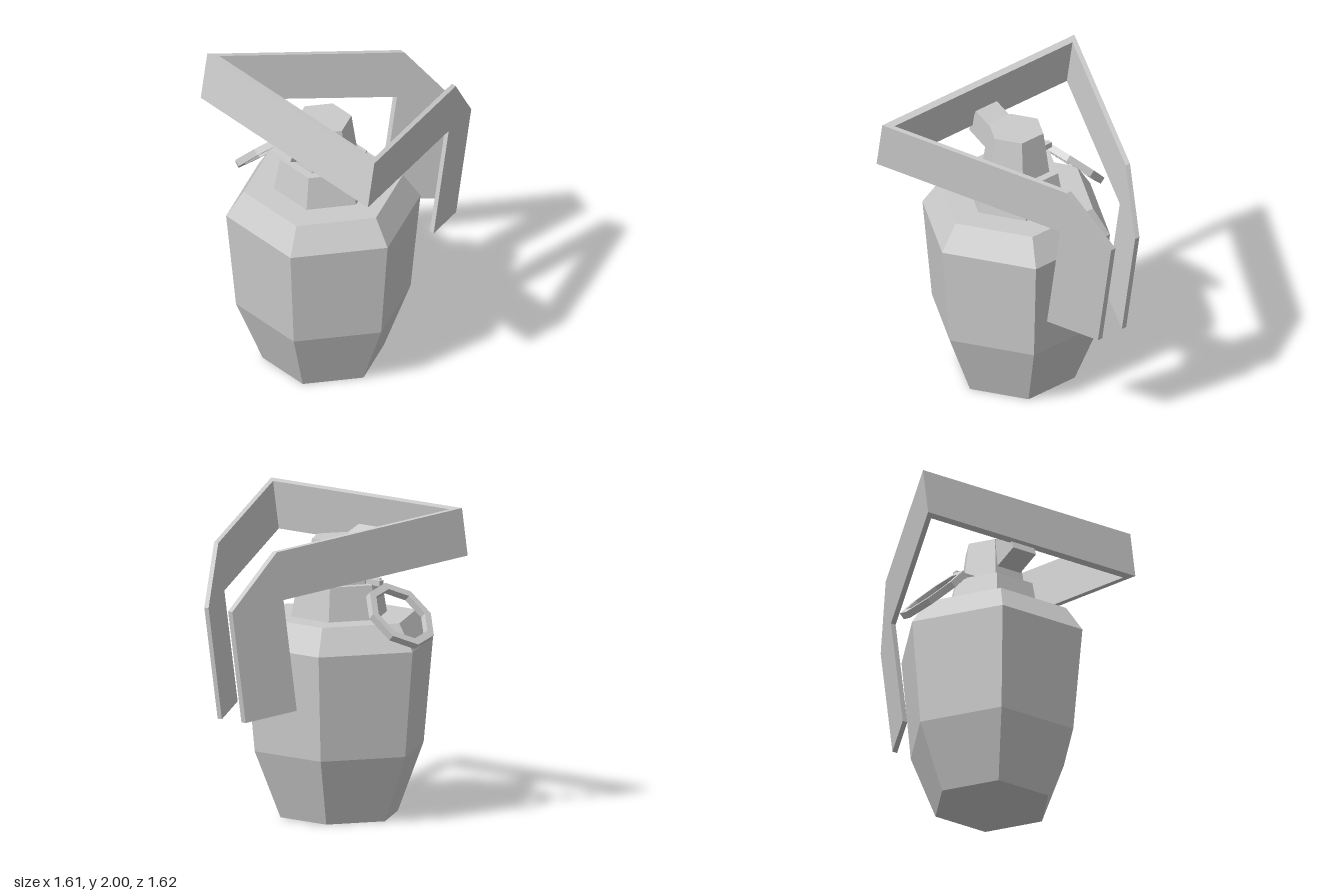
import * as THREE from 'three';

const material = new THREE.MeshStandardMaterial({ color: 0xcccccc, flatShading: true });

function addMesh(parent, name, geometry) {
  const mesh = new THREE.Mesh(geometry, material);
  mesh.name = name;
  parent.add(mesh);
  return mesh;
}

// Six-sided solid of revolution from [radius, height] pairs, corners on the x axis
function hexLathe(profile) {
  const points = profile.map(([r, y]) => new THREE.Vector2(r, y));
  return new THREE.LatheGeometry(points, 6, Math.PI / 6);
}

// Outline given as [z, y], extruded across x and centred on x = 0
function sideExtrude(outline, width) {
  const shape = new THREE.Shape(outline.map(([z, y]) => new THREE.Vector2(z, y)));
  return new THREE.ExtrudeGeometry(shape, { depth: width, bevelEnabled: false })
    .translate(0, 0, -width / 2)
    .rotateY(-Math.PI / 2);
}

// Replaces each x by rule(x, z)
function moveX(geometry, rule) {
  const p = geometry.attributes.position;
  for (let i = 0; i < p.count; i++) p.setX(i, rule(p.getX(i), p.getZ(i)));
  geometry.computeVertexNormals();
  return geometry;
}

function octagon(PathType, radius) {
  const points = [];
  for (let i = 0; i < 8; i++) {
    const a = (i * Math.PI) / 4 - 0.15;
    points.push(new THREE.Vector2(radius * Math.cos(a), radius * Math.sin(a)));
  }
  return new PathType(points);
}

export function createModel() {
  const model = new THREE.Group();
  model.name = 'grenade';

  // Body and stepped neck share one axis
  const core = new THREE.Group();
  core.name = 'core';
  core.position.set(-0.045, 0, 0.273);
  model.add(core);
  addMesh(core, 'body', hexLathe([[0, 0], [0.387, 0], [0.557, 0.43], [0.62, 1.105], [0.508, 1.275], [0, 1.275]]));
  addMesh(core, 'lowerNeck', hexLathe([[0, 1.27], [0.316, 1.27], [0.277, 1.49], [0, 1.49]]));
  addMesh(core, 'upperNeck', hexLathe([[0, 1.485], [0.22, 1.485], [0.18, 1.765], [0, 1.765]]));

  // Block joining the neck to the lever's front plate
  const block = sideExtrude([[0.43, 1.56], [0.62, 1.635], [0.555, 1.8], [0.425, 1.75]], 0.177);
  addMesh(model, 'leverMount', block).position.x = -0.045;

  // Tilted lever: wide front plate and two converging bent arms
  const lever = new THREE.Group();
  lever.name = 'lever';
  lever.position.set(0, 2, 0.58);
  lever.rotation.x = -0.171;
  model.add(lever);
  const halfWidth = (z) => 0.805 + 0.469 * z;
  const thick = 0.036;

  const plate = new THREE.BoxGeometry(2, 0.315, 0.05).translate(0, -0.1575, -0.025);
  addMesh(lever, 'frontPlate', moveX(plate, (x, z) => x * halfWidth(z)));

  const armOutline = [
    [-0.05, 0], [-1.152, 0], [-1.464, -0.315], [-1.464, -1.05],
    [-1.146, -1.05], [-1.146, -0.317], [-0.05, -0.315],
  ];
  for (const side of [-1, 1]) {
    const arm = sideExtrude(armOutline, thick);
    moveX(arm, (x, z) => x + side * (halfWidth(z) - thick / 2));
    addMesh(lever, side > 0 ? 'leftArm' : 'rightArm', arm);
  }

  // Pull ring hanging off a short pin
  const ringShape = octagon(THREE.Shape, 0.245);
  ringShape.holes.push(octagon(THREE.Path, 0.195));
  const ring = new THREE.ExtrudeGeometry(ringShape, { depth: 0.045, bevelEnabled: false })
    .translate(0, 0, -0.0225)
    .rotateX(-Math.PI / 2)
    .rotateZ(Math.PI / 4);
  addMesh(model, 'pullRing', ring).position.set(-0.525, 1.315, 0.31);
  addMesh(model, 'pin', new THREE.BoxGeometry(0.17, 0.036, 0.036)).position.set(-0.28, 1.502, 0.315);

  return model;
}
